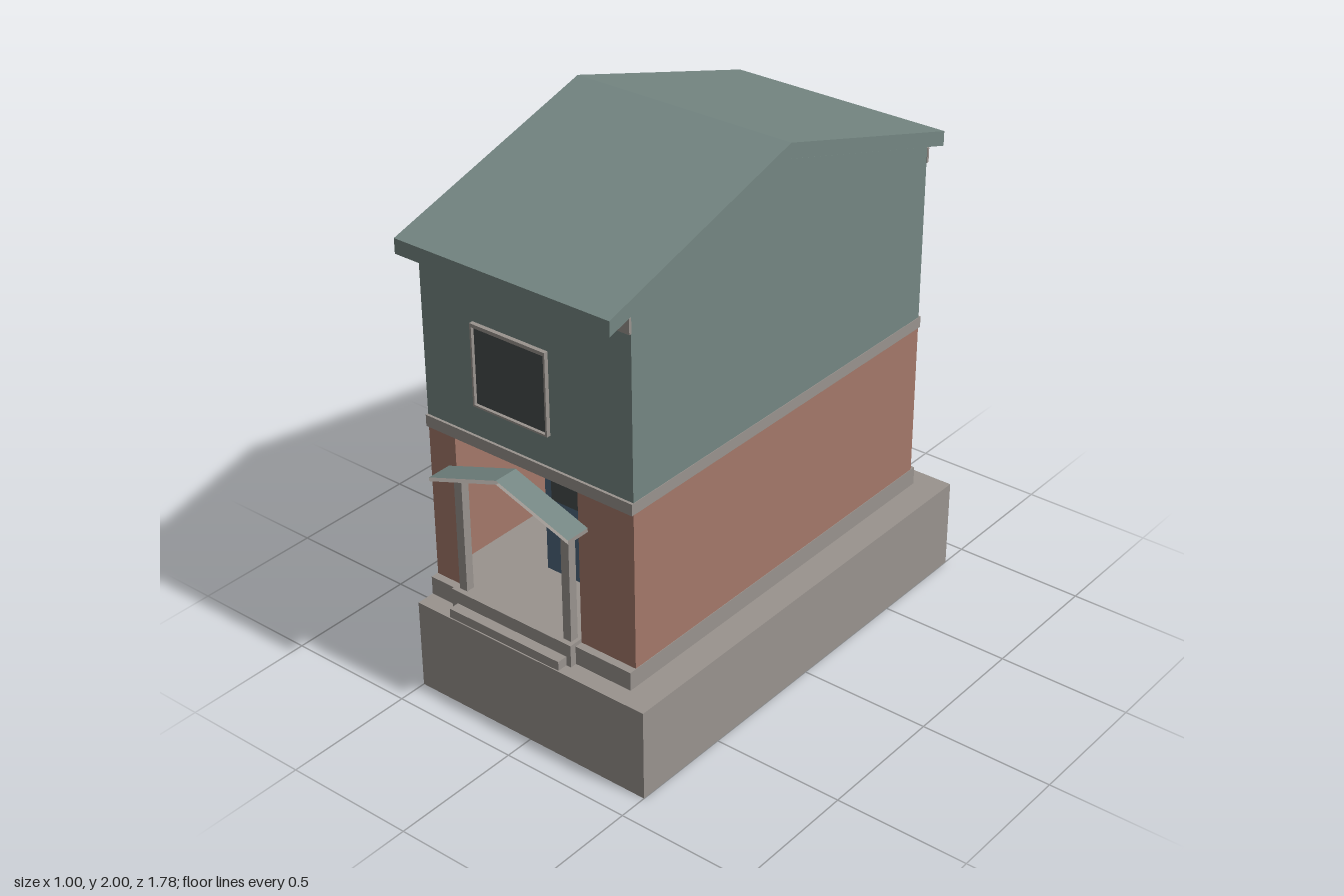
import * as THREE from 'three';

const mat = (name, color, side = THREE.FrontSide) => {
  const m = new THREE.MeshStandardMaterial({ color, side });
  m.name = name;
  return m;
};

export function createModel() {
  const house = new THREE.Group();
  house.name = 'house';

  const teal = mat('teal siding', 0x748682, THREE.DoubleSide);
  const grey = mat('grey stone', 0x99938e, THREE.DoubleSide);
  const brick = mat('brick', 0xa37869);
  const blue = mat('blue door', 0x4d667d);
  const glass = mat('dark glass', 0x474c4c);

  const add = (name, geometry, material) => {
    const mesh = new THREE.Mesh(geometry, material);
    mesh.name = name;
    house.add(mesh);
    return mesh;
  };
  // Box given by its limits on each axis
  const box = (name, material, [x0, x1], [y0, y1], [z0, z1]) => {
    const g = new THREE.BoxGeometry(x1 - x0, y1 - y0, z1 - z0);
    g.translate((x0 + x1) / 2, (y0 + y1) / 2, (z0 + z1) / 2);
    return add(name, g, material);
  };
  // Profile of [z, y] points extruded along x
  const alongX = (name, material, points, x0, x1) => {
    const shape = new THREE.Shape(points.map(([z, y]) => new THREE.Vector2(z, y)));
    const g = new THREE.ExtrudeGeometry(shape, { depth: x1 - x0, bevelEnabled: false });
    g.rotateY(-Math.PI / 2).translate(x1, 0, 0);
    return add(name, g, material);
  };

  // Base and plinth; the plinth top is also the ground floor
  const X = [-0.5, 0.39];
  box('base', grey, [-0.5, 0.5], [0, 0.345], [-0.89, 0.89]);
  box('plinth', grey, X, [0.345, 0.415], [-0.81, 0.82]);

  // Hollow brick ground floor, open at the porch
  const low = [0.415, 1.01];
  box('rightBrickWall', brick, [-0.498, -0.486], low, [-0.79, 0.79]);
  box('leftBrickWall', brick, [0.376, 0.388], low, [-0.79, 0.79]);
  box('backBrickWall', brick, [-0.486, 0.376], low, [-0.79, -0.778]);
  box('frontRightPier', brick, [-0.486, -0.38], low, [0.778, 0.79]);
  box('frontLeftPier', brick, [0.155, 0.376], low, [0.778, 0.79]);

  // Band between the floors
  box('floorBand', grey, X, [1.007, 1.05], [-0.8, 0.8]);

  // Upper floor with gable ends
  alongX('upperWalls', teal, [
    [-0.79, 1.05], [0.79, 1.05], [0.79, 1.709], [0, 1.944], [-0.79, 1.709],
  ], -0.498, 0.388);

  // Main roof slab
  alongX('roof', teal, [
    [-0.89, 1.68], [0, 1.945], [0.89, 1.68], [0.89, 1.735], [0, 2], [-0.89, 1.735],
  ], ...X);

  for (const s of [-1, 1]) {
    const z = [s * 0.79, s * 0.8].sort((a, b) => a - b);
    box(s > 0 ? 'frontEaveTrim' : 'backEaveTrim', grey, X, [1.65, 1.705], z);
  }

  // Window: glass pane with a thin projecting surround
  const makeWindow = (name, [x0, x1], [y0, y1], s) => {
    const span = (a, b) => [s * a, s * b].sort((p, q) => p - q);
    const t = 0.007, out = span(0.785, 0.806);
    box(name + 'Glass', glass, [x0, x1], [y0, y1], span(0.774, 0.794));
    box(name + 'Lintel', grey, [x0 - t, x1 + t], [y1, y1 + 0.013], out);
    box(name + 'Sill', grey, [x0 - t, x1 + t], [y0 - t, y0], out);
    box(name + 'JambA', grey, [x0 - t, x0], [y0, y1], out);
    box(name + 'JambB', grey, [x1, x1 + t], [y0, y1], out);
  };
  makeWindow('frontUpperWindow', [-0.265, 0.04], [1.175, 1.46], 1);
  makeWindow('backUpperWindow', [-0.205, 0.09], [1.175, 1.46], -1);
  makeWindow('backLowerWindow', [-0.17, 0.05], [0.61, 0.885], -1);

  // Porch landing and step
  box('porchLanding', grey, [-0.38, 0.155], [0.345, 0.43], [0.5, 0.845]);
  box('porchStep', grey, [-0.355, 0.135], [0.345, 0.38], [0.8, 0.885]);

  // Recessed door with a pane on both faces
  box('door', blue, [-0.21, -0.01], [0.43, 0.9], [0.525, 0.545]);
  box('doorPane', glass, [-0.18, -0.05], [0.72, 0.855], [0.522, 0.548]);

  // Porch posts and thin gabled canopy, mirrored about the porch centre
  const cx = -0.11, half = 0.305;
  const sheet = (corners) => {
    const g = new THREE.BufferGeometry();
    g.setAttribute('position', new THREE.Float32BufferAttribute(corners.flat(), 3));
    g.setIndex([0, 1, 2, 0, 2, 3]);
    g.computeVertexNormals();
    return g;
  };
  for (const s of [-1, 1]) {
    const side = s > 0 ? 'left' : 'right';
    const px = cx + s * 0.234;
    box(side + 'PorchPost', grey, [px - 0.017, px + 0.017], [0.43, 0.895], [0.792, 0.825]);
    const z0 = 0.79, z1 = 0.885, ex = cx + s * half;
    const flip = (c) => (s > 0 ? c : c.reverse());
    add(side + 'CanopyTop', sheet(flip([
      [cx, 0.985, z0], [cx, 0.985, z1], [ex, 0.88, z1], [ex, 0.88, z0]])), teal);
    add(side + 'CanopyUnderside', sheet(flip([
      [ex, 0.865, z0], [ex, 0.865, z1], [cx, 0.97, z1], [cx, 0.97, z0]])), grey);
    add(side + 'CanopyEdge', sheet(flip([
      [ex, 0.88, z0], [ex, 0.88, z1], [ex, 0.865, z1], [ex, 0.865, z0]])), grey);
  }

  return house;
}
